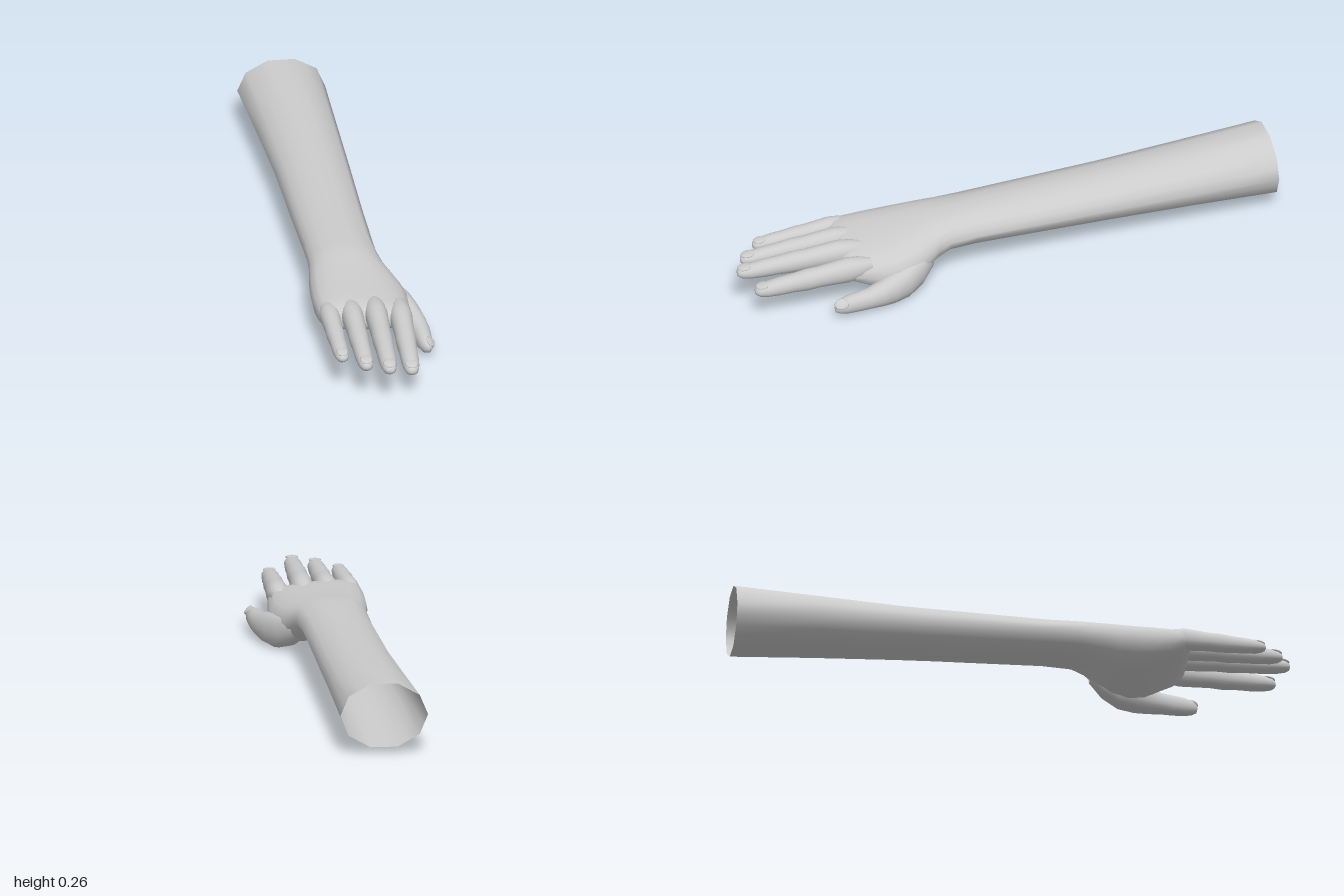
import * as THREE from 'three';

const SIDES = 20;
const material = new THREE.MeshStandardMaterial({ color: 0xcccccc, side: THREE.DoubleSide });

// Skin rounded cross-sections along z. Each section is
// [z, left x, right x, top y at left, top y at right, bottom y at left, bottom y at right, squareness].
function loft(name, sections, facetedUntil = -Infinity) {
  const pos = [], index = [];
  for (const [z, x0, x1, t0, t1, b0, b1, p] of sections) {
    const ring = [];
    for (let j = 0; j < SIDES; j++) {
      const a = (j / SIDES) * Math.PI * 2, c = Math.cos(a), s = Math.sin(a);
      const u = Math.sign(c) * Math.abs(c) ** (2 / p), v = Math.sign(s) * Math.abs(s) ** (2 / p);
      const k = (u + 1) / 2;
      const top = t0 + (t1 - t0) * k, bottom = b0 + (b1 - b0) * k;
      ring.push([x0 + (x1 - x0) * k, (top + bottom) / 2 + ((top - bottom) / 2) * v, z]);
    }
    // the forearm is ten-sided: put every other point on a straight edge
    if (z < facetedUntil) {
      for (let j = 1; j < SIDES; j += 2) {
        const m = ring[j - 1], n = ring[(j + 1) % SIDES];
        ring[j] = m.map((q, i) => (q + n[i]) / 2);
      }
    }
    pos.push(...ring.flat());
  }
  for (let i = 0; i < sections.length - 1; i++) {
    for (let j = 0; j < SIDES; j++) {
      const k = (j + 1) % SIDES, a = i * SIDES + j, b = i * SIDES + k;
      index.push(a, b, a + SIDES, b, b + SIDES, a + SIDES);
    }
  }
  // close the far end
  const [z, x0, x1, t0, t1, b0, b1] = sections.at(-1);
  const last = (sections.length - 1) * SIDES, tip = pos.length / 3;
  pos.push((x0 + x1) / 2, (t0 + t1 + b0 + b1) / 4, z + 0.004);
  for (let j = 0; j < SIDES; j++) index.push(last + j, last + ((j + 1) % SIDES), tip);

  const geometry = new THREE.BufferGeometry();
  geometry.setAttribute('position', new THREE.Float32BufferAttribute(pos, 3));
  geometry.setIndex(index);
  geometry.computeVertexNormals();
  const mesh = new THREE.Mesh(geometry, material);
  mesh.name = name;
  return mesh;
}

// Round section: centre and radii
const round = (z, x, y, rx, ry) => [z, x - rx, x + rx, y + ry, y + ry, y - ry, y - ry, 2.1];

function nail(x, y, z, width, tilt, roll) {
  const mesh = new THREE.Mesh(new THREE.SphereGeometry(1, 14, 8), material);
  mesh.name = 'nail';
  mesh.scale.set(width, 0.006, 0.026);
  mesh.position.set(x, y, z);
  mesh.rotation.set(tilt, 0, roll, 'ZXY');
  return mesh;
}

// Finger from knuckle to tip, with two slightly thicker joints
function finger(name, { base, tip, width, height, yBase, yTip }) {
  const start = 0.53, length = tip - start;
  const profile = [
    [0, 0.7, 0.6], [0.1, 1, 0.92], [0.2, 1.08, 1.08], [0.32, 1, 1], [0.45, 0.95, 0.9],
    [0.55, 0.97, 0.92], [0.68, 0.87, 0.8], [0.79, 0.86, 0.76], [0.9, 0.78, 0.64],
    [0.96, 0.62, 0.48], [0.99, 0.36, 0.28],
  ];
  const group = new THREE.Group();
  group.name = name;
  group.add(loft('fingerFlesh', profile.map(([t, w, h]) => round(
    start + length * t,
    base[0] + (base[1] - base[0]) * t,
    yBase + (yTip - yBase) * t,
    width * w, height * h,
  ))));
  group.add(nail(base[1], yTip + height * 0.52, tip - 0.029, width * 0.62, 0.14, 0));
  return group;
}

export function createModel() {
  const arm = new THREE.Group();
  arm.name = 'arm';

  // Open forearm running into wrist, thumb-side mound and palm
  arm.add(loft('forearmAndPalm', [
    [-1, -0.245, 0.065, 0.264, 0.264, 0.022, 0.022, 2],
    [-0.7, -0.215, 0.072, 0.253, 0.253, 0.043, 0.043, 2],
    [-0.4, -0.187, 0.08, 0.242, 0.24, 0.061, 0.061, 2],
    [-0.1, -0.17, 0.087, 0.234, 0.23, 0.073, 0.073, 2],
    [0.12, -0.156, 0.095, 0.229, 0.226, 0.083, 0.083, 2],
    [0.22, -0.15, 0.102, 0.228, 0.222, 0.086, 0.084, 2.1],
    [0.27, -0.152, 0.115, 0.228, 0.214, 0.082, 0.066, 2.2],
    [0.32, -0.158, 0.142, 0.226, 0.2, 0.075, 0.035, 2.3],
    [0.37, -0.163, 0.165, 0.223, 0.19, 0.067, 0.012, 2.4],
    [0.43, -0.166, 0.18, 0.219, 0.182, 0.065, 0.005, 2.5],
    [0.49, -0.166, 0.178, 0.214, 0.178, 0.07, 0.018, 2.6],
    [0.55, -0.161, 0.172, 0.209, 0.176, 0.083, 0.056, 2.7],
    [0.59, -0.157, 0.168, 0.203, 0.172, 0.098, 0.078, 2.7],
    [0.615, -0.15, 0.16, 0.188, 0.16, 0.112, 0.096, 2.6],
    [0.625, -0.135, 0.145, 0.17, 0.145, 0.128, 0.112, 2.4],
  ], 0.15));

  // Four fingers: x at knuckle and tip, reach, radii, heights
  const fingers = {
    littleFinger: { base: [-0.122, -0.108], tip: 0.89, width: 0.033, height: 0.036, yBase: 0.16, yTip: 0.147 },
    ringFinger: { base: [-0.043, -0.032], tip: 0.96, width: 0.036, height: 0.04, yBase: 0.163, yTip: 0.148 },
    middleFinger: { base: [0.043, 0.046], tip: 0.997, width: 0.037, height: 0.041, yBase: 0.163, yTip: 0.15 },
    indexFinger: { base: [0.132, 0.129], tip: 0.957, width: 0.037, height: 0.042, yBase: 0.147, yTip: 0.117 },
  };
  for (const [name, shape] of Object.entries(fingers)) arm.add(finger(name, shape));

  // Thumb, low on the left side
  const thumb = new THREE.Group();
  thumb.name = 'thumb';
  thumb.add(loft('thumbFlesh', [
    round(0.29, 0.085, 0.105, 0.03, 0.04),
    round(0.34, 0.115, 0.085, 0.048, 0.06),
    round(0.4, 0.146, 0.068, 0.053, 0.065),
    round(0.46, 0.168, 0.06, 0.052, 0.058),
    round(0.51, 0.188, 0.056, 0.043, 0.047),
    round(0.56, 0.203, 0.055, 0.035, 0.038),
    round(0.6, 0.208, 0.053, 0.031, 0.036),
    round(0.64, 0.211, 0.051, 0.028, 0.033),
    round(0.67, 0.215, 0.05, 0.022, 0.026),
    round(0.687, 0.219, 0.049, 0.012, 0.015),
  ]));
  thumb.add(nail(0.229, 0.068, 0.668, 0.02, 0.15, -0.8));
  arm.add(thumb);

  return arm;
}
